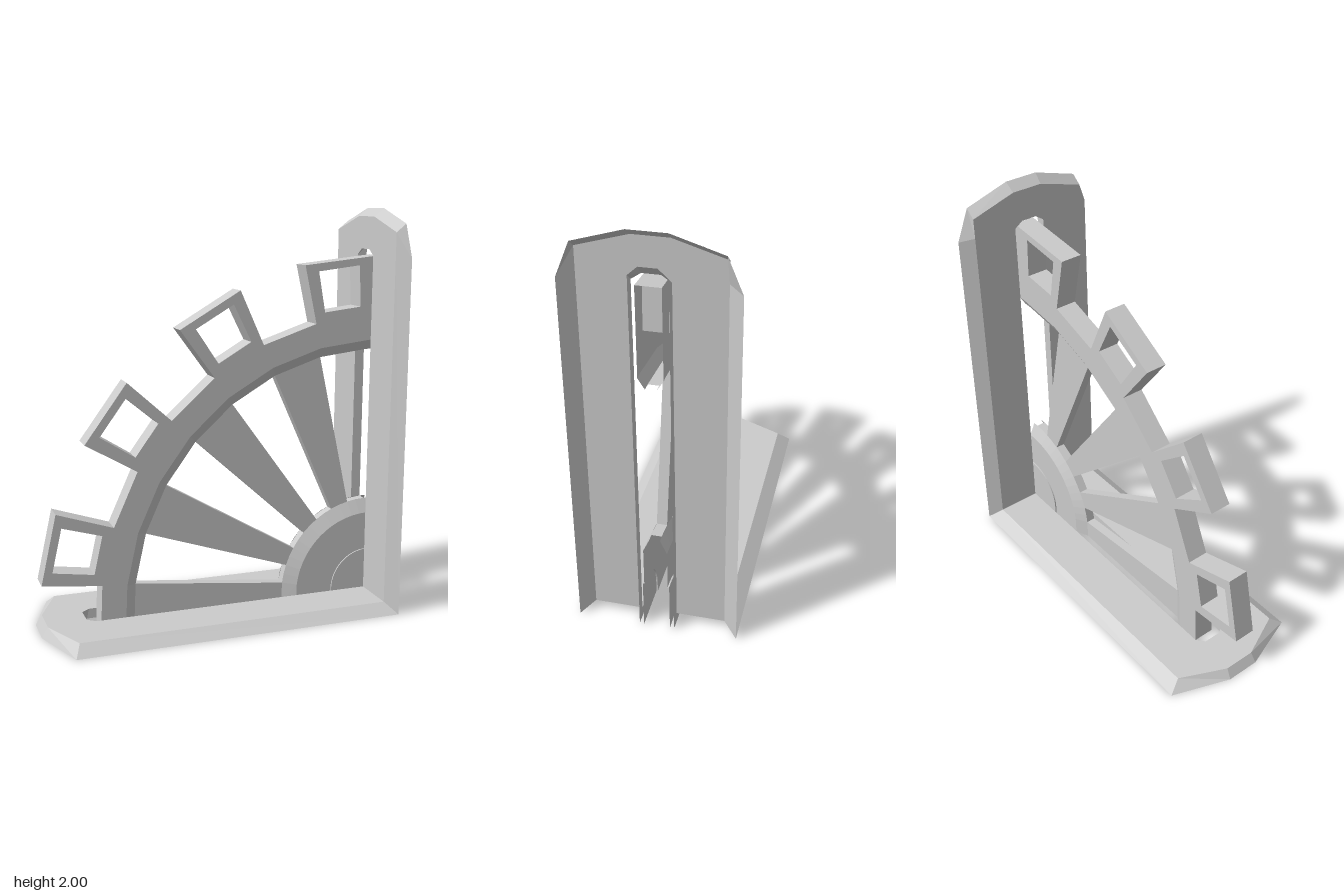
import * as THREE from 'three';
import { mergeGeometries } from 'three/addons/utils/BufferGeometryUtils.js';

const mat = new THREE.MeshStandardMaterial({ color: 0xcccccc, side: THREE.DoubleSide, flatShading: true });

// Band of quads between two rows of 3D points
function strip(a, b) {
  const pos = [];
  for (let i = 0; i < a.length - 1; i++) {
    pos.push(...a[i], ...b[i], ...b[i + 1], ...a[i], ...b[i + 1], ...a[i + 1]);
  }
  const g = new THREE.BufferGeometry();
  g.setAttribute('position', new THREE.Float32BufferAttribute(pos, 3));
  g.computeVertexNormals();
  return g;
}

// Flat sheet from a 2D outline with holes, placed in space by a mapping
function sheet(outline, holes, map) {
  const v = (l) => l.map((p) => new THREE.Vector2(p[0], p[1]));
  const shape = new THREE.Shape(v(outline));
  holes.forEach((h) => shape.holes.push(new THREE.Path(v(h))));
  const g = new THREE.ShapeGeometry(shape).toNonIndexed();
  const p = g.attributes.position;
  for (let i = 0; i < p.count; i++) p.setXYZ(i, ...map(p.getX(i), p.getY(i)));
  g.deleteAttribute('uv');
  g.computeVertexNormals();
  return g;
}

function part(group, name, geos) {
  const m = new THREE.Mesh(mergeGeometries(geos), mat);
  m.name = name;
  group.add(m);
}

// Slotted, bevelled plate, open at the back; half outlines are [distance from corner, z]
function plate(group, name, outer, inner, slotOuter, slotInner, map) {
  const both = (l) => [...l, ...[...l].reverse().map(([u, v]) => [u, -v])];
  const at = (l, h) => l.map(([u, v]) => map(u, v, h));
  const o = both(outer), i = both(inner), so = both(slotOuter), si = both(slotInner);
  part(group, name, [
    sheet([...i, ...[...si].reverse()], [], (u, v) => map(u, v, D)),
    strip(at(o, 0), at(i, D)),
    strip(at(so, 0), at(si, D)),
  ]);
}

const D = 0.05;               // plate depth
const END = 0.87;             // outer face of the upright
const CX = 0.845, CY = 0.05;  // wheel centre
const STEP = 11.8, START = 6.6;
const ang = (k) => START + STEP * k;
const P = (r, deg) => {
  const t = THREE.MathUtils.degToRad(deg);
  return [CX - r * Math.cos(t), CY + r * Math.sin(t)];
};
const lift = (l, z) => l.map(([x, y]) => [x, y, z]);
const wall = (l, z) => strip(lift(l, -z), lift(l, z));

// Quarter arc running from the ground to the upright's outer face
function arc(r, n = 1) {
  const pts = [[CX - r, 0]];
  for (let k = 0; k <= 7 * n; k++) pts.push(P(r, ang(k / n)));
  pts.push([END, CY + r]);
  return pts;
}

export function createModel() {
  const model = new THREE.Group();
  model.name = 'quarterWheelBracket';

  // Plates
  plate(model, 'uprightPlate',
    [[0, 0.375], [1.77, 0.375], [1.93, 0.31], [2, 0.085]],
    [[D, 0.31], [1.79, 0.31], [1.89, 0.31], [1.96, 0.08]],
    [[0, 0.083], [1.81, 0.083], [1.85, 0.04]],
    [[D, 0.083], [1.77, 0.083], [1.80, 0.04]],
    (u, v, h) => [END - h, u, v]);
  plate(model, 'basePlate',
    [[0, 0.375], [1.64, 0.375], [1.745, 0.085]],
    [[D, 0.31], [1.61, 0.31], [1.715, 0.08]],
    [[0, 0.083], [1.49, 0.083], [1.53, 0.05]],
    [[D, 0.083], [1.48, 0.083], [1.52, 0.05]],
    (u, v, h) => [END - u, h, v]);

  const T = 0.055, W = 0.024;       // half thickness of rim and of spokes
  const R0 = 1.25, R1 = 1.3, R2 = 1.425, R3 = 1.72, H1 = 0.465, H2 = 0.395, H3 = 0.2;

  // Toothed rim outline and the windows in the teeth
  const edge = [[CX - R2, 0]];
  const windows = [];
  for (let k = 0; k < 8; k += 2) {
    const a = ang(k), b = ang(k + 1);
    edge.push(P(R2, a), P(R3, a));
    if (k < 6) edge.push(P(R3, b), P(R2, b));
    else edge.push([END, CY + R3]);
    windows.push([P(1.47, a + 2.2), P(1.675, a + 2.2), P(1.675, a + 9.8), P(1.47, a + 9.8)]);
  }
  const rim = [wall(edge, T)];
  windows.forEach((w) => rim.push(wall([...w, w[0]], T)));
  for (const s of [-1, 1]) {
    rim.push(sheet([...edge, ...arc(R1).reverse()], windows, (x, y) => [x, y, s * T]));
    rim.push(strip(lift(arc(R1), s * T), lift(arc(R0), s * W)));
  }
  for (let k = 0; k < 8; k += 2) rim.push(wall([P(R0, ang(k)), P(R0, ang(k + 1))], W));
  part(model, 'toothedRim', rim);

  // Tapering spokes
  const spokes = [[[CX - R0, 0], P(R0, ang(0)), P(H1, ang(0)), [CX - H1, 0]]];
  for (let k = 1; k < 7; k += 2) {
    spokes.push([P(R0, ang(k)), P(R0, ang(k + 1)), P(H1, ang(k + 1)), P(H1, ang(k))]);
  }
  spokes.forEach((q, i) => {
    const geos = [-W, W].map((z) => sheet(q, [], (x, y) => [x, y, z]));
    geos.push(wall([q[1], q[2]], W));
    if (i > 0) geos.push(wall([q[0], q[3]], W));
    part(model, 'spoke' + (i + 1), geos);
  });

  // Bevelled hub with a slightly raised boss
  const hub = [];
  for (let k = 0; k < 8; k += 2) hub.push(wall([P(H1, ang(k)), P(H1, ang(k + 1))], W));
  for (const s of [-1, 1]) {
    hub.push(strip(lift(arc(H1, 2), s * W), lift(arc(H2, 2), s * T)));
    hub.push(sheet([...arc(H2, 2), ...arc(H3, 2).reverse()], [], (x, y) => [x, y, s * T]));
    hub.push(strip(lift(arc(H3, 2), s * T), lift(arc(H3, 2), s * 0.062)));
    hub.push(sheet([...arc(H3, 2), [END, 0]], [], (x, y) => [x, y, s * 0.062]));
  }
  part(model, 'hub', hub);

  return model;
}
